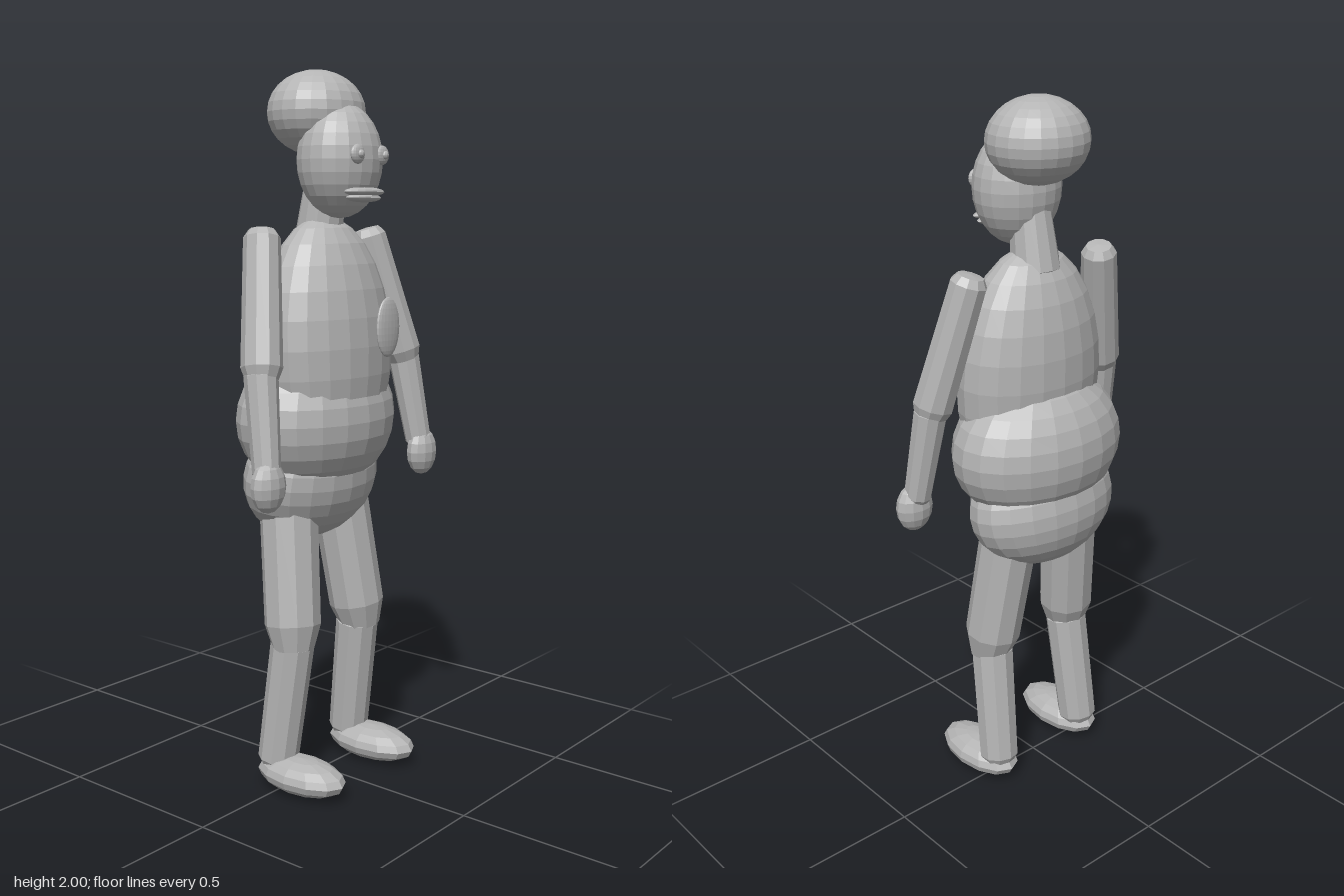
import * as THREE from 'three';

const grey = new THREE.MeshStandardMaterial({ color: 0xb4b4b4, flatShading: true });
grey.name = 'clay grey';

// Ellipsoid with given centre, radii and forward tilt
function blob(name, [x, y, z], [rx, ry, rz], tilt = 0, seg = 20, rings = 14) {
  const geometry = new THREE.SphereGeometry(1, seg, rings).scale(rx, ry, rz);
  const mesh = new THREE.Mesh(geometry, grey);
  mesh.name = name;
  mesh.position.set(x, y, z);
  mesh.rotation.x = tilt;
  return mesh;
}

// Tapered limb from a to b with bevelled ends; capA and capB are bevel lengths
function limb(name, a, b, ra, rb, capA, capB, sides = 10) {
  const from = new THREE.Vector3(...a), to = new THREE.Vector3(...b);
  const axis = to.clone().sub(from), length = axis.length();
  const profile = [
    [0, 0], [ra * 0.72, capA * 0.15], [ra, capA],
    [rb, length - capB], [rb * 0.72, length - capB * 0.1], [0, length],
  ].map(([r, h]) => new THREE.Vector2(r, h));
  const mesh = new THREE.Mesh(new THREE.LatheGeometry(profile, sides), grey);
  mesh.name = name;
  mesh.position.copy(from);
  mesh.quaternion.setFromUnitVectors(new THREE.Vector3(0, 1, 0), axis.normalize());
  return mesh;
}

export function createModel() {
  const model = new THREE.Group();
  model.name = 'figure';

  // Trunk
  model.add(
    blob('torso', [0, 1.25, 0.018], [0.23, 0.36, 0.148], -0.04),
    blob('belly', [0, 1.05, -0.017], [0.27, 0.212, 0.188]),
    blob('hips', [0, 0.88, -0.038], [0.238, 0.18, 0.15], 0.15),
    limb('neck', [0, 1.535, -0.012], [0, 1.76, 0.02], 0.068, 0.052, 0.01, 0.01, 12),
    blob('chestBadge', [0.085, 1.305, 0.167], [0.05, 0.083, 0.013]),
  );

  // Head
  model.add(
    blob('head', [0, 1.757, 0.063], [0.125, 0.155, 0.113]),
    blob('hair', [0, 1.886, -0.019], [0.143, 0.114, 0.131]),
    blob('upperLip', [0, 1.672, 0.148], [0.08, 0.013, 0.03], 0, 16, 8),
    blob('lowerLip', [0, 1.656, 0.145], [0.068, 0.012, 0.03], 0, 16, 8),
  );

  // Paired parts
  for (const s of [1, -1]) {
    const side = s > 0 ? 'left' : 'right';
    model.add(
      blob(side + 'Eye', [s * 0.053, 1.769, 0.166], [0.027, 0.026, 0.012], 0, 16, 10),
      blob(side + 'Pupil', [s * 0.053, 1.769, 0.178], [0.011, 0.011, 0.008], 0, 10, 8),

      limb(side + 'UpperArm', [s * 0.226, 1.575, -0.018], [s * 0.318, 1.175, 0.06], 0.05, 0.056, 0.025, 0.045),
      limb(side + 'Forearm', [s * 0.314, 1.21, 0.053], [s * 0.341, 0.93, 0.097], 0.046, 0.038, 0.01, 0.02),
      blob(side + 'Hand', [s * 0.344, 0.915, 0.104], [0.056, 0.07, 0.039], 0, 12, 8),

      limb(side + 'Thigh', [s * 0.108, 0.86, -0.034], [s * 0.153, 0.4, 0.024], 0.083, 0.08, 0.02, 0.08),
      limb(side + 'Shin', [s * 0.147, 0.43, 0.016], [s * 0.163, 0.05, -0.031], 0.062, 0.058, 0.01, 0.03),
      blob(side + 'Foot', [s * 0.163, 0.05, 0.06], [0.08, 0.05, 0.148], 0, 12, 8),
    );
  }
  return model;
}
